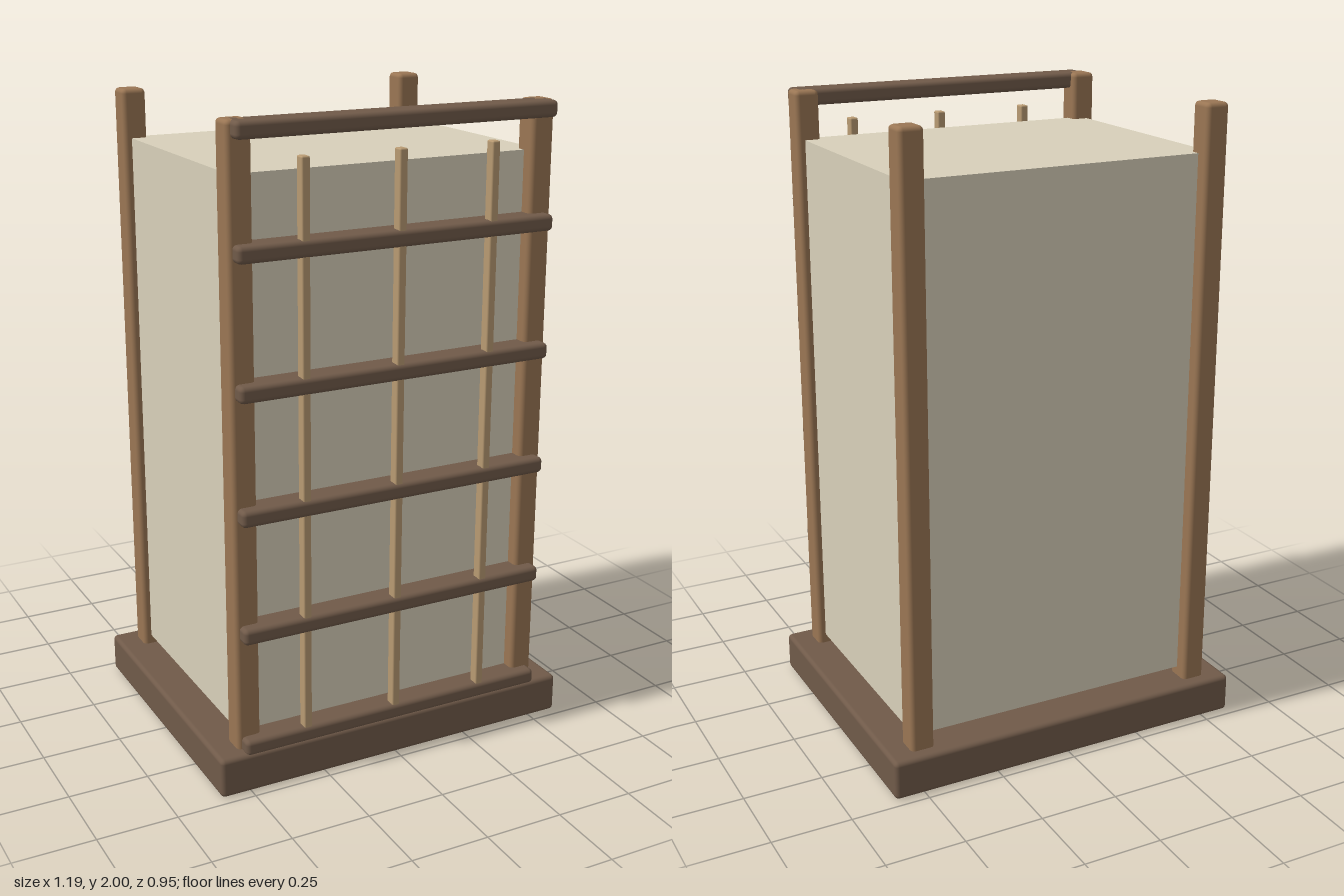
import * as THREE from 'three';
import { RoundedBoxGeometry } from 'three/addons/geometries/RoundedBoxGeometry.js';

const mat = (color) => new THREE.MeshStandardMaterial({ color });

export function createModel() {
  const lantern = new THREE.Group();
  lantern.name = 'lantern';
  const darkWood = mat(0x705a49);
  const wood = mat(0x9a7654);
  const paleWood = mat(0xb89a72);
  const paper = mat(0xd8d0ba);

  // Adds a box given by its lower and upper corners; radius rounds the edges
  function addBox(name, material, min, max, radius = 0) {
    const size = max.map((v, i) => v - min[i]);
    const geometry = radius
      ? new RoundedBoxGeometry(...size, 2, radius)
      : new THREE.BoxGeometry(...size);
    const mesh = new THREE.Mesh(geometry, material);
    mesh.name = name;
    mesh.position.set(...max.map((v, i) => (v + min[i]) / 2));
    lantern.add(mesh);
  }

  // Base slab and paper shade raised slightly above it
  addBox('base', darkWood, [-0.597, 0, -0.473], [0.597, 0.125, 0.473], 0.014);
  addBox('paperShade', paper, [-0.5, 0.155, -0.39], [0.5, 1.85, 0.39]);

  // Four corner posts
  for (const [xName, x] of [['Left', 0.487], ['Right', -0.487]]) {
    for (const [zName, z] of [['front', 0.392], ['back', -0.392]]) {
      addBox(zName + xName + 'Post', wood,
        [x - 0.038, 0.1, z - 0.039], [x + 0.038, 2, z + 0.039], 0.014);
    }
  }

  // Horizontal rails across the front
  for (const y of [0.14, 0.505, 0.875, 1.245, 1.64, 1.975]) {
    addBox('frontRail', darkWood, [-0.512, y - 0.025, 0.375], [0.512, y + 0.025, 0.47], 0.014);
  }

  // Slender upright bars of the front lattice
  for (const x of [-0.305, 0, 0.305]) {
    addBox('latticeBar', paleWood, [x - 0.013, 0.12, 0.43], [x + 0.013, 1.895, 0.464], 0.005);
  }

  return lantern;
}
